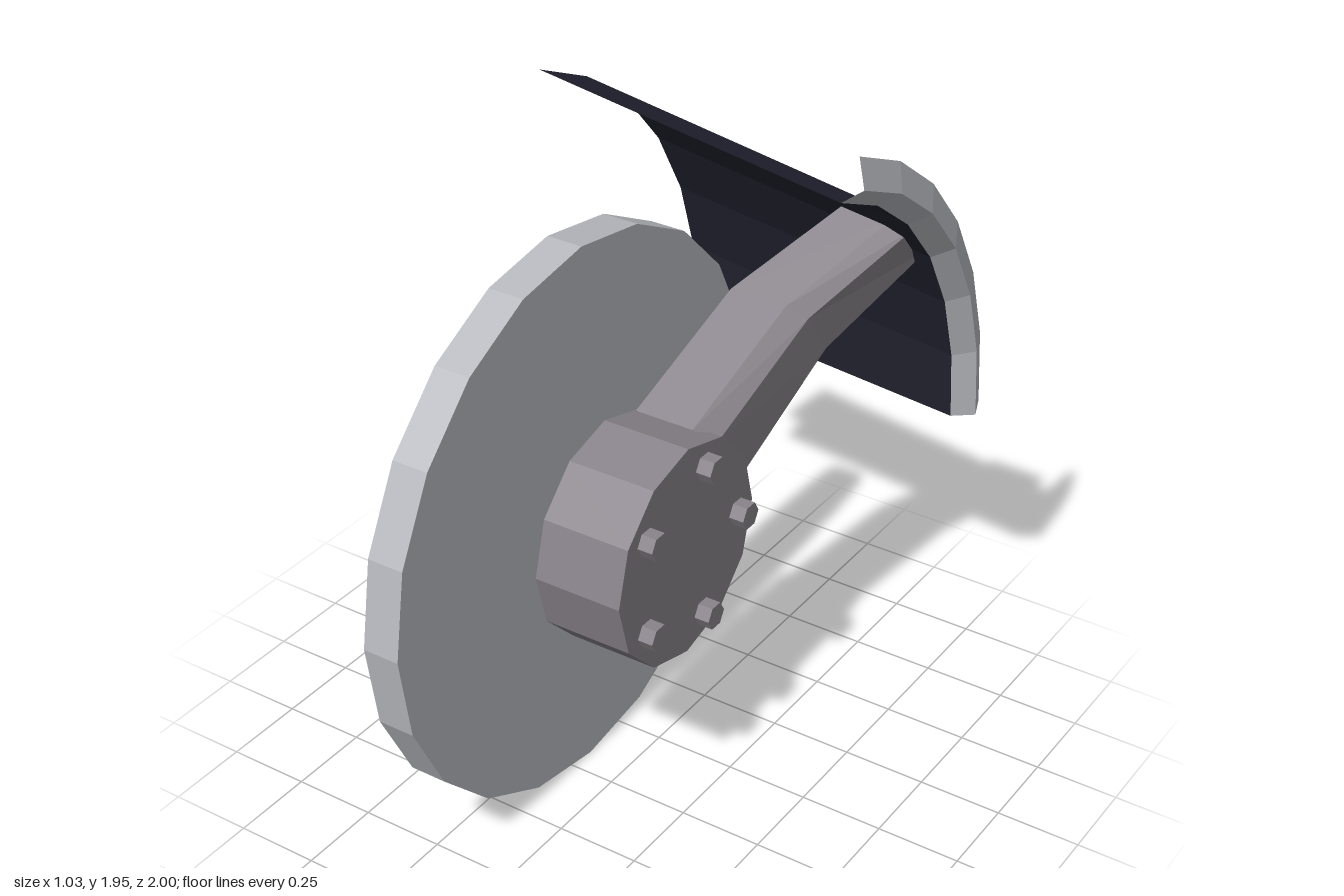
import * as THREE from 'three';

const AXLE_Y = 0.835, AXLE_Z = 0.17;

function material(name, color, open = false) {
  const m = new THREE.MeshStandardMaterial({ color, flatShading: true });
  m.name = name;
  if (open) m.side = THREE.DoubleSide;
  return m;
}

export function createModel() {
  const group = new THREE.Group();
  const lightGrey = material('light grey', 0xb8babf, true);
  const midGrey = material('mid grey', 0x88838a, true);
  const navy = material('dark navy', 0x222230, true);

  const add = (name, geometry, mat, x = 0, y = AXLE_Y, z = AXLE_Z) => {
    const mesh = new THREE.Mesh(geometry, mat);
    mesh.name = name;
    mesh.position.set(x, y, z);
    group.add(mesh);
  };

  // Cylinder lying along x, from x0 to x1
  const disc = (name, r, x0, x1, sides, mat, y, z) =>
    add(name, new THREE.CylinderGeometry(r, r, x1 - x0, sides).rotateZ(-Math.PI / 2), mat, (x0 + x1) / 2, y, z);

  disc('wheelDisc', 0.835, -0.24, -0.13, 20, lightGrey);
  disc('hub', 0.33, -0.063, 0.207, 12, midGrey);

  // Ring of five bolts on the hub face
  for (let i = 0; i < 5; i++) {
    const a = (i * Math.PI * 2) / 5;
    disc('bolt', 0.04, 0.19, 0.253, 6, midGrey, AXLE_Y + 0.25 * Math.sin(a), AXLE_Z - 0.25 * Math.cos(a));
  }

  // Open shells swept 72 degrees around the axle; profile is [x, radius]
  const sweep = (name, profile, mat) => {
    const pts = profile.map(([x, r]) => new THREE.Vector2(r, x));
    const geo = new THREE.LatheGeometry(pts, 6, Math.PI, Math.PI * 0.4).rotateZ(-Math.PI / 2);
    add(name, geo, mat);
  };
  sweep('fender', [[-0.52, 1.168], [0.457, 1.04]], navy);
  sweep('fenderRim', [[0.457, 1.04], [0.515, 1.087], [0.483, 1.168]], lightGrey);

  // Bent arm: open tube through chamfered sections
  const sections = [
    { l: -0.05, r: 0.19, top: [1.135, 0.04], low: [0.875, -0.16] },
    { l: 0.02, r: 0.255, top: [1.37, -0.33], low: [1.155, -0.49] },
    { l: 0.2, r: 0.412, top: [1.557, -0.628], low: [1.402, -0.775] },
  ];
  const rings = sections.map(({ l, r, top, low }) => {
    const at = (x, t) => [x, top[0] + (low[0] - top[0]) * t, top[1] + (low[1] - top[1]) * t];
    const c = 0.055, k = 0.17;
    return [at(l, 0), at(r - c, 0), at(r, k), at(r, 1 - k), at(r - c, 1), at(l, 1)];
  });
  const verts = rings.flat(2), index = [];
  for (let s = 0; s < 2; s++) {
    for (let i = 0; i < 6; i++) {
      const a = s * 6 + i, b = s * 6 + ((i + 1) % 6);
      index.push(a, b, b + 6, a, b + 6, a + 6);
    }
  }
  const arm = new THREE.BufferGeometry();
  arm.setAttribute('position', new THREE.Float32BufferAttribute(verts, 3));
  arm.setIndex(index);
  arm.computeVertexNormals();
  add('supportArm', arm, midGrey, 0, 0, 0);

  return group;
}
